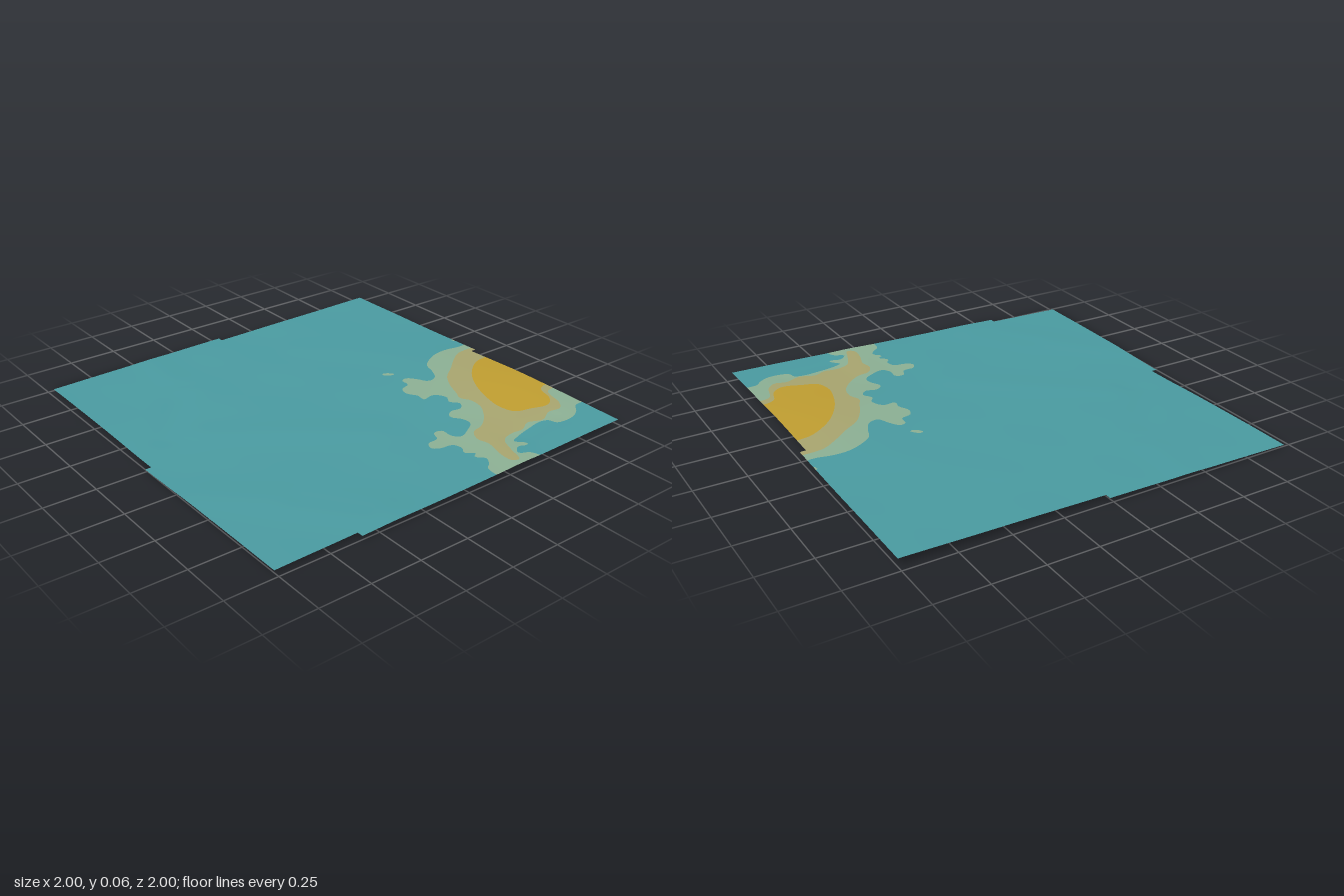
import * as THREE from 'three';

// Soft bell used for hills, dips and ridges
const bell = (d, r) => Math.exp(-(d * d) / (r * r));

// Distance from a point to a segment
function segDist(x, z, ax, az, bx, bz) {
  const dx = bx - ax, dz = bz - az;
  const t = Math.min(1, Math.max(0, ((x - ax) * dx + (z - az) * dz) / (dx * dx + dz * dz || 1)));
  return Math.hypot(x - ax - dx * t, z - az - dz * t);
}

// Low ridges and creases: ax, az, bx, bz, radius, height
const ridges = [
  [-0.12, 0.62, 0.35, 0.0, 0.1, 0.003],
  [0.35, 0.9, 0.9, 0.42, 0.12, 0.004],
  [0.62, 0.62, 0.85, 0.45, 0.07, -0.002],
  [-0.95, 0.42, -0.6, 0.45, 0.09, 0.003],
  [-0.6, 0.45, -0.2, 0.78, 0.08, -0.003],
  [-0.6, -0.3, -0.25, -0.6, 0.1, 0.0015],
  [0.8, -0.75, 0.84, -0.5, 0.06, -0.003],
  [0.65, -0.35, 1.0, -0.32, 0.1, 0.003],
];

// Height of the land
function height(x, z) {
  let y = 0.03 - 0.016 * z + 0.002 * x;
  y += 0.015 * bell(Math.hypot((x - 0.38) / 1.2, z + 0.82), 0.36);
  y -= 0.009 * bell(Math.hypot(x + 0.05, z - 1), 0.35);
  y += 0.0007 * Math.sin(9 * x + 5 * z) * Math.sin(7 * z - 4 * x);
  for (const [a, b, c, d, r, h] of ridges) y += h * bell(segDist(x, z, a, b, c, d), r);
  return y;
}

// Closed smooth outline from flat x, z pairs
function outline(p, n) {
  const pts = [];
  for (let i = 0; i < p.length; i += 2) pts.push(new THREE.Vector3(p[i], p[i + 1], 0));
  return new THREE.CatmullRomCurve3(pts, true, 'centripetal').getPoints(n);
}

// Signed distance to an outline, positive inside
function inside(pts, x, z) {
  let d = Infinity, hit = false;
  for (let i = 0; i < pts.length - 1; i++) {
    const a = pts[i], b = pts[i + 1];
    d = Math.min(d, segDist(x, z, a.x, a.y, b.x, b.y));
    if ((a.y > z) !== (b.y > z) && x < a.x + (b.x - a.x) * (z - a.y) / (b.y - a.y)) hit = !hit;
  }
  return hit ? d : -d;
}

// Edges of the colour bands, from the outer shore inward
const shore = outline([
  -0.07, -1.05, -0.075, -0.96, -0.09, -0.88, -0.085, -0.8, -0.05, -0.72, -0.005, -0.665, 0.06, -0.64,
  0.125, -0.6, 0.135, -0.55, 0.08, -0.52, 0.035, -0.485, 0.045, -0.45, 0.095, -0.445, 0.115, -0.39,
  0.165, -0.373, 0.22, -0.4, 0.27, -0.395, 0.265, -0.46, 0.325, -0.495, 0.37, -0.47, 0.415, -0.5,
  0.455, -0.465, 0.445, -0.41, 0.485, -0.37, 0.54, -0.4, 0.59, -0.4, 0.63, -0.345, 0.655, -0.28,
  0.62, -0.25, 0.555, -0.25, 0.55, -0.205, 0.6, -0.18, 0.607, -0.12, 0.65, -0.1, 0.675, -0.135,
  0.685, -0.195, 0.735, -0.21, 0.77, -0.185, 0.805, -0.225, 0.83, -0.195, 0.865, -0.23, 0.91, -0.205,
  0.94, -0.17, 1.05, -0.18, 1.05, -0.43, 0.955, -0.42, 0.93, -0.37, 0.885, -0.415, 0.9, -0.457,
  0.885, -0.475, 0.84, -0.435, 0.815, -0.49, 0.795, -0.585, 0.785, -0.665, 0.8, -0.71, 0.84, -0.72,
  0.85, -0.82, 0.82, -0.88, 0.78, -0.92, 0.76, -1.05], 300);
const islets = [
  outline([-0.083, -0.425, -0.07, -0.455, -0.037, -0.475, -0.045, -0.44, -0.072, -0.418], 20),
  outline([-0.175, -1.01, -0.17, -0.99, -0.15, -0.99, -0.145, -1.01], 16),
];
const slope = outline([
  0.0, -1.05, -0.02, -0.92, -0.008, -0.88, 0.035, -0.815, 0.1, -0.735, 0.163, -0.65, 0.243, -0.596,
  0.325, -0.56, 0.377, -0.537, 0.43, -0.56, 0.5, -0.553, 0.555, -0.52, 0.6, -0.48, 0.645, -0.415,
  0.66, -0.355, 0.725, -0.318, 0.78, -0.33, 0.885, -0.302, 0.955, -0.302, 0.97, -0.335, 0.885, -0.37,
  0.805, -0.41, 0.78, -0.48, 0.785, -0.55, 0.755, -0.61, 0.78, -0.69, 0.745, -0.77, 0.755, -0.835,
  0.71, -0.88, 0.6, -0.92, 0.57, -1.05], 160);
const summit = outline([
  0.115, -1.05, 0.115, -0.97, 0.125, -0.9, 0.165, -0.83, 0.24, -0.75, 0.35, -0.68, 0.47, -0.635,
  0.565, -0.62, 0.645, -0.645, 0.67, -0.72, 0.695, -0.8, 0.685, -0.84, 0.645, -0.88, 0.57, -0.905,
  0.545, -0.94, 0.525, -1.05], 90);

// Grid vertex: position plus its distance to each band edge
function vertex(x, z) {
  const near = x > -0.25 && z < 0;
  const f = near ? [
    Math.max(inside(shore, x, z), ...islets.map((i) => inside(i, x, z))),
    inside(slope, x, z), inside(summit, x, z)] : [-1, -1, -1];
  return { x, z, f };
}

// Keep the part of a polygon where sign * field k is positive
function clip(poly, k, sign) {
  const out = [];
  poly.forEach((a, i) => {
    const b = poly[(i + 1) % poly.length], fa = a.f[k] * sign, fb = b.f[k] * sign;
    if (fa >= 0) out.push(a);
    if ((fa >= 0) !== (fb >= 0)) {
      const t = fa / (fa - fb), mix = (p, q) => p + (q - p) * t;
      out.push({ x: mix(a.x, b.x), z: mix(a.z, b.z), f: a.f.map((v, j) => mix(v, b.f[j])) });
    }
  });
  return out;
}

// Grid lines that fall exactly on the stepped border
function gridLines(stops) {
  const lines = [stops[0]];
  for (let i = 1; i < stops.length; i++) {
    const a = stops[i - 1], b = stops[i], n = Math.ceil((b - a) / 0.0165);
    for (let j = 1; j <= n; j++) lines.push(a + (b - a) * j / n);
  }
  return lines;
}

// Stepped border of the sheet
function onSheet(x, z) {
  if (z < -0.97) return x > -0.97 && x < 0.01;
  if (z < -0.02) return x > -0.97;
  if (z < 0.59) return true;
  if (z < 0.97) return x < 0.97;
  return x > -0.02 && x < 0.97;
}

export function createModel() {
  const group = new THREE.Group();
  const bands = [['lowland', 0x4a9ba1], ['shoreBand', 0x8cb094], ['slopeBand', 0xa8a56f], ['summit', 0xc09e31]]
    .map(([name, color]) => ({ name, color, pos: [], nor: [] }));

  const addPolygon = (band, poly) => {
    for (let i = 1; i < poly.length - 1; i++) {
      for (const { x, z } of [poly[0], poly[i], poly[i + 1]]) {
        const e = 0.008;
        band.pos.push(x, height(x, z), z);
        const n = new THREE.Vector3(height(x - e, z) - height(x + e, z), 2 * e, height(x, z - e) - height(x, z + e)).normalize();
        band.nor.push(n.x, n.y, n.z);
      }
    }
  };

  // Cut every grid triangle along the band edges
  const xs = gridLines([-1, -0.97, -0.02, 0.01, 0.97, 1]);
  const zs = gridLines([-1, -0.97, -0.02, 0.59, 0.97, 1]);
  const grid = zs.map((z) => xs.map((x) => vertex(x, z)));
  for (let j = 0; j < zs.length - 1; j++) {
    for (let i = 0; i < xs.length - 1; i++) {
      if (!onSheet((xs[i] + xs[i + 1]) / 2, (zs[j] + zs[j + 1]) / 2)) continue;
      const a = grid[j][i], b = grid[j + 1][i], c = grid[j + 1][i + 1], d = grid[j][i + 1];
      for (let rest of [[a, b, d], [b, c, d]]) {
        for (let k = 0; k < 3; k++) {
          addPolygon(bands[k], clip(rest, k, -1));
          rest = clip(rest, k, 1);
        }
        addPolygon(bands[3], rest);
      }
    }
  }

  // One mesh for each colour band
  for (const { name, color, pos, nor } of bands) {
    const geometry = new THREE.BufferGeometry();
    geometry.setAttribute('position', new THREE.Float32BufferAttribute(pos, 3));
    geometry.setAttribute('normal', new THREE.Float32BufferAttribute(nor, 3));
    const material = new THREE.MeshStandardMaterial({ color, side: THREE.DoubleSide });
    material.name = name + 'Colour';
    const mesh = new THREE.Mesh(geometry, material);
    mesh.name = name;
    group.add(mesh);
  }
  return group;
}
